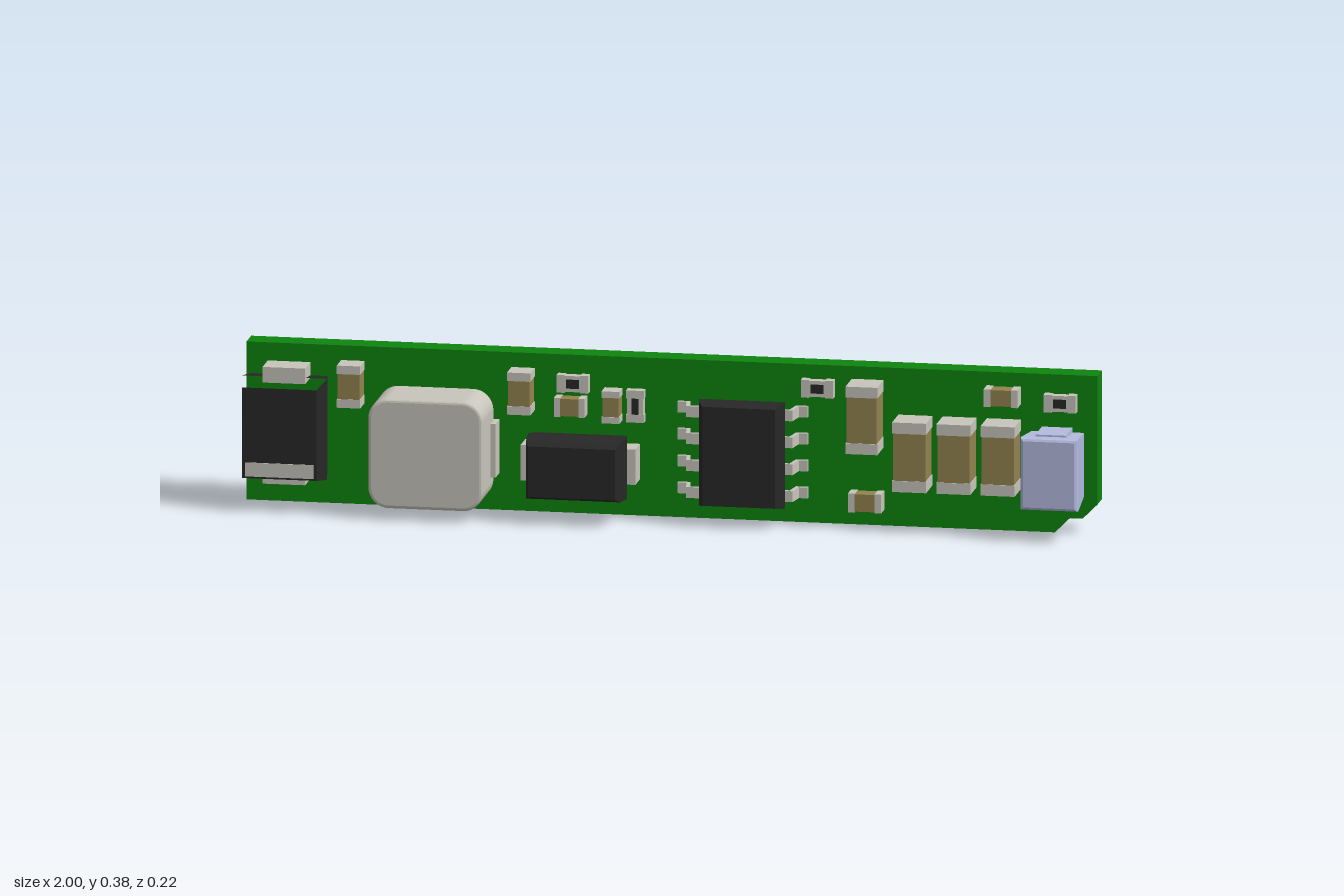
import * as THREE from 'three';

const BOARD = -0.048; // z of the component side
const mat = (name, color) => {
  const m = new THREE.MeshStandardMaterial({ color });
  m.name = name;
  return m;
};

export function createModel() {
  const model = new THREE.Group();
  const green = mat('board green', 0x0e840e);
  const metal = mat('tin grey', 0xc8c5bb);
  const black = mat('black plastic', 0x282727);
  const tan = mat('ceramic tan', 0x93834f);
  const blue = mat('pale blue', 0xb4bbe0);

  const add = (parent, name, geo, material) => {
    const m = new THREE.Mesh(geo, material);
    m.name = name;
    parent.add(m);
    return m;
  };
  const group = (name) => {
    const g = new THREE.Group();
    g.name = name;
    model.add(g);
    return g;
  };
  // Box given by its limits
  const box = (parent, name, material, x0, x1, y0, y1, z0, z1) => {
    const m = add(parent, name, new THREE.BoxGeometry(x1 - x0, y1 - y0, z1 - z0), material);
    m.position.set((x0 + x1) / 2, (y0 + y1) / 2, (z0 + z1) / 2);
    return m;
  };
  // Moulded body: rectangles [z, width, height] joined from back to front;
  // skip(section, side) leaves a wall out (side 2 is the top)
  const moulded = (x, y, sections, skip = () => false) => {
    const p = [];
    const rings = sections.map(([z, w, h]) =>
      [[-1, -1], [1, -1], [1, 1], [-1, 1]].map(([a, b]) => [x + a * w / 2, y + b * h / 2, z]));
    const quad = (a, b, c, d) => [a, b, c, a, c, d].forEach((v) => p.push(...v));
    for (let k = 0; k + 1 < rings.length; k++) {
      for (let i = 0; i < 4; i++) {
        const j = (i + 1) % 4;
        if (!skip(k, i)) quad(rings[k][i], rings[k][j], rings[k + 1][j], rings[k + 1][i]);
      }
    }
    quad(...rings[rings.length - 1]);
    if (!skip(-1, 0)) quad(...[...rings[0]].reverse());
    const g = new THREE.BufferGeometry();
    g.setAttribute('position', new THREE.Float32BufferAttribute(p, 3));
    g.computeVertexNormals();
    return g;
  };
  const polygon = (pts) => new THREE.Shape(pts.map(([x, y]) => new THREE.Vector2(x, y)));

  // Circuit board with stepped corner
  const outline = polygon([[-1, 0], [0.9, 0], [0.935, 0.035], [0.965, 0.035], [1, 0.07], [1, 0.375], [-1, 0.375]]);
  add(model, 'circuitBoard', new THREE.ExtrudeGeometry(outline, { depth: 0.06, bevelEnabled: false }), green)
    .position.z = -0.108;

  // Ceramic capacitors: x, y, width, height, front z (caps lie on the longer axis)
  const chip = (name, x, y, w, h, top, bodyMat, endShare) => {
    const g = group(name);
    const tall = h > w;
    const L = Math.max(w, h), W = Math.min(w, h), e = L * endShare, inset = 0.002;
    const part = (n, m, a, b, s) => tall
      ? box(g, n, m, x - W / 2 + s, x + W / 2 - s, y + a, y + b, BOARD, top - s)
      : box(g, n, m, x + a, x + b, y - W / 2 + s, y + W / 2 - s, BOARD, top - s);
    part('terminalA', metal, -L / 2, -L / 2 + e, 0);
    part('terminalB', metal, L / 2 - e, L / 2, 0);
    part('body', bodyMat, -L / 2 + e, L / 2 - e, inset);
    return { g, tall };
  };
  [
    [-0.75, 0.29, 0.055, 0.1, 0.01], [-0.35, 0.29, 0.055, 0.1, 0.01],
    [-0.235, 0.257, 0.072, 0.045, -0.01], [-0.137, 0.263, 0.042, 0.076, -0.005],
    [0.46, 0.265, 0.075, 0.16, 0.034], [0.46, 0.06, 0.078, 0.045, -0.005],
    [0.572, 0.182, 0.08, 0.165, 0.034], [0.676, 0.182, 0.08, 0.165, 0.034], [0.78, 0.182, 0.08, 0.165, 0.034],
    [0.78, 0.322, 0.08, 0.042, -0.005],
  ].forEach(([x, y, w, h, z]) => chip('capacitor', x, y, w, h, z, tan, h > 0.12 ? 0.16 : 0.2));

  // Resistors with a dark centre mark
  [[-0.23, 0.31, 0.074, 0.042], [-0.083, 0.263, 0.042, 0.076], [0.345, 0.322, 0.076, 0.042], [0.915, 0.31, 0.076, 0.042]]
    .forEach(([x, y, w, h]) => {
      const { g } = chip('resistor', x, y, w, h, -0.025, metal, 0.25);
      box(g, 'mark', black, x - w * 0.2, x + w * 0.2, y - h * 0.25, y + h * 0.25, -0.027, -0.0245);
    });

  // Large diode: body open on the upper front slope
  const diode = group('largeDiode');
  add(diode, 'body', moulded(-0.9, 0.188,
    [[BOARD, 0.18, 0.225], [0.012, 0.2, 0.24], [0.08, 0.175, 0.215]],
    (k, i) => k < 0 || (k === 1 && i === 2)), black);
  box(diode, 'cathodeBand', metal, -0.98, -0.82, 0.085, 0.118, 0.078, 0.082);
  box(diode, 'upperLead', metal, -0.95, -0.85, 0.295, 0.332, BOARD, 0.02);
  box(diode, 'lowerLead', metal, -0.95, -0.85, 0.055, 0.08, BOARD, 0.02);

  // Power inductor: rounded square block with side terminals
  const inductor = group('inductor');
  const w = 0.127, h = 0.122, r = 0.04;
  const sq = new THREE.Shape();
  sq.absarc(w - r, h - r, r, 0, Math.PI / 2);
  sq.absarc(r - w, h - r, r, Math.PI / 2, Math.PI);
  sq.absarc(r - w, r - h, r, Math.PI, Math.PI * 1.5);
  sq.absarc(w - r, r - h, r, Math.PI * 1.5, Math.PI * 2);
  add(inductor, 'body', new THREE.ExtrudeGeometry(sq, {
    depth: 0.132, bevelSize: 0.008, bevelThickness: 0.008, bevelSegments: 3, curveSegments: 8,
  }), metal).position.set(-0.552, 0.158, -0.032);
  box(inductor, 'terminals', metal, -0.702, -0.405, 0.088, 0.215, BOARD, 0.005);

  // Small diode
  const small = group('smallDiode');
  add(small, 'body', moulded(-0.21, 0.127,
    [[-0.04, 0.21, 0.125], [0.02, 0.232, 0.147], [0.075, 0.222, 0.138], [0.097, 0.205, 0.12]]), black);
  box(small, 'leads', metal, -0.345, -0.075, 0.086, 0.17, BOARD, 0.012);

  // Eight-pin chip
  const ic = group('driverChip');
  add(ic, 'body', moulded(0.175, 0.17,
    [[-0.037, 0.18, 0.23], [0.008, 0.202, 0.252], [0.03, 0.195, 0.245], [0.053, 0.17, 0.235]]), black);
  const gull = [[0.09, 0.002], [0.117, 0.002], [0.124, -0.042], [0.153, -0.042], [0.153, -0.033],
    [0.132, -0.033], [0.125, 0.011], [0.09, 0.011]];
  for (const side of [-1, 1]) {
    for (let i = 0; i < 4; i++) {
      const geo = new THREE.ExtrudeGeometry(polygon(gull.map(([x, z]) => [x * side, z])),
        { depth: 0.026, bevelEnabled: false });
      geo.rotateX(Math.PI / 2);
      add(ic, 'pin', geo, metal).position.set(0.168, 0.085 + i * 0.064, -0.004);
    }
  }

  // Pale blue block with folded end contacts
  const block = group('blueComponent');
  add(block, 'body', moulded(0.907, 0.163,
    [[BOARD, 0.122, 0.152], [0.062, 0.135, 0.172], [0.07, 0.13, 0.167], [0.073, 0.12, 0.157]]), blue);
  box(block, 'upperContact', blue, 0.87, 0.942, 0.235, 0.251, -0.044, 0.04);
  box(block, 'lowerContact', blue, 0.87, 0.942, 0.075, 0.09, -0.044, 0.04);

  return model;
}
